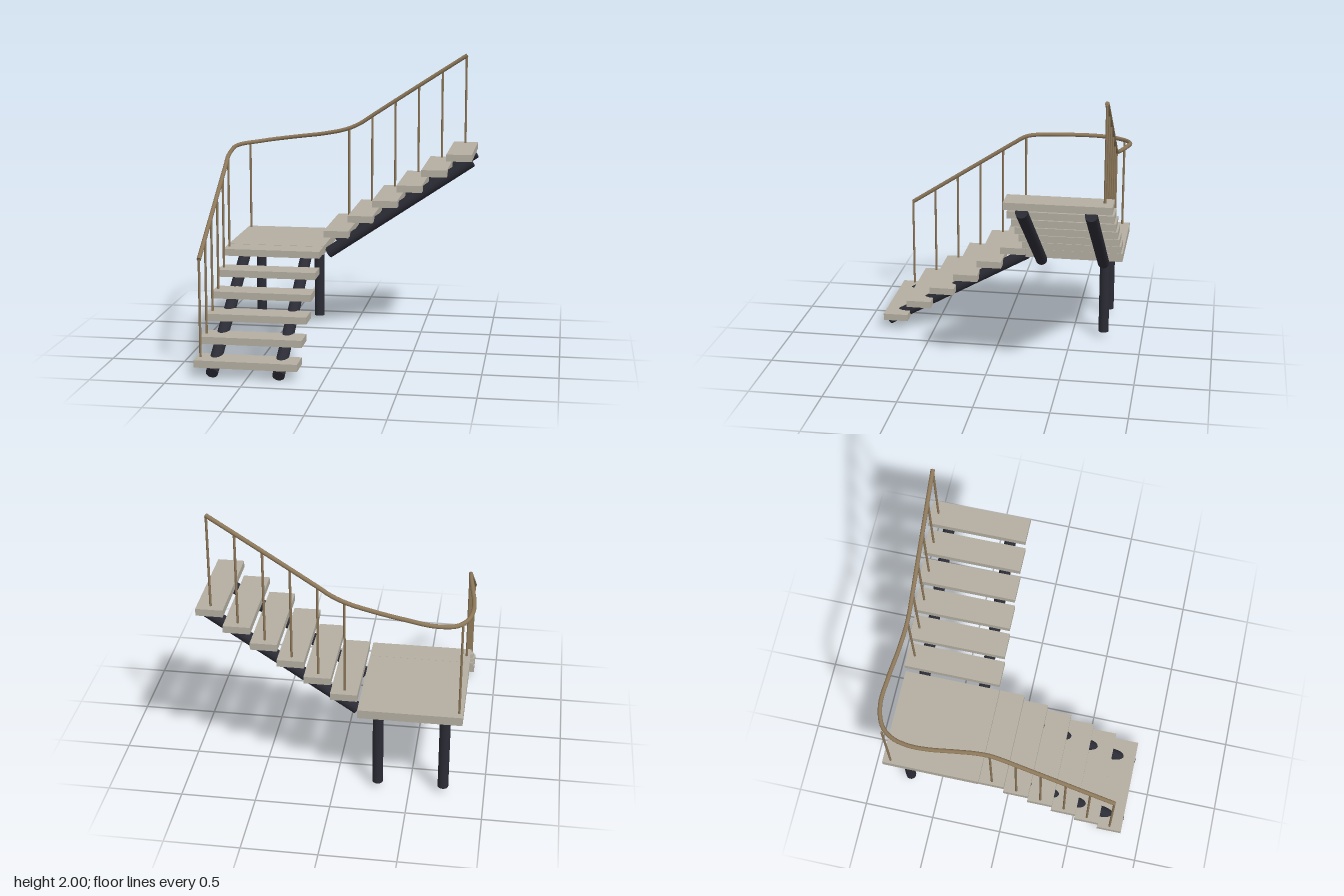
import * as THREE from 'three';

export function createModel() {
  const model = new THREE.Group();
  model.name = 'cornerStaircase';

  const stone = new THREE.MeshStandardMaterial({ name: 'pale stone', color: 0xb5afa2 });
  const steel = new THREE.MeshStandardMaterial({ name: 'dark steel', color: 0x2b2b35 });
  const wood = new THREE.MeshStandardMaterial({ name: 'brown rail', color: 0x8c7759 });

  const V = (x, y, z) => new THREE.Vector3(x, y, z);

  function add(name, geometry, material, parent = model) {
    const mesh = new THREE.Mesh(geometry, material);
    mesh.name = name;
    parent.add(mesh);
    return mesh;
  }

  function slab(name, w, h, d, x, y, z) {
    add(name, new THREE.BoxGeometry(w, h, d), stone).position.set(x, y, z);
  }

  // Round bar between two points
  function bar(name, a, b, radius, material, sides) {
    const mesh = add(name, new THREE.CylinderGeometry(radius, radius, a.distanceTo(b), sides), material);
    mesh.position.copy(a).add(b).multiplyScalar(0.5);
    mesh.quaternion.setFromUnitVectors(V(0, 1, 0), b.clone().sub(a).normalize());
  }

  const STEPS = 6, RUN = 0.171, RISE = 0.1118;
  const WIDTH = 0.682, TREAD = 0.176, THICK = 0.048;
  const RAIL_X = -0.817, RAIL_Z = -0.801;

  // Landing
  slab('landing', WIDTH, 0.06, WIDTH, -0.502, 0.65, -0.514);

  // Treads and balusters of both flights
  const lowerTops = [0.77, 0.88, 0.99, 1.10, 1.21, 1.315];
  const upperTops = [1.435, 1.54, 1.655, 1.767, 1.878, 1.987];
  for (let i = 0; i < STEPS; i++) {
    const z = 0.773 - RUN * i, yLow = 0.096 + RISE * i;
    slab('lowerTread', WIDTH, THICK, TREAD, -0.502, yLow, z);
    bar('lowerBaluster', V(RAIL_X, yLow, z), V(RAIL_X, lowerTops[i], z), 0.008, wood, 10);

    const x = -0.073 + RUN * i, yUp = 0.769 + RISE * i;
    slab('upperTread', TREAD, THICK, WIDTH, x, yUp, -0.514);
    bar('upperBaluster', V(x, yUp, RAIL_Z), V(x, upperTops[i], RAIL_Z), 0.008, wood, 10);
  }
  bar('cornerBaluster', V(RAIL_X, 0.66, RAIL_Z), V(RAIL_X, 1.33, RAIL_Z), 0.008, wood, 10);

  // Sloping stringers and landing posts
  for (const x of [-0.725, -0.285]) {
    bar('lowerStringer', V(x, 0.035, 0.845), V(x, 0.602, -0.165), 0.04, steel, 24);
    bar('landingPost', V(x, 0.042, -0.725), V(x, 0.63, -0.725), 0.036, steel, 24);
  }
  for (const z of [-0.725, -0.29]) {
    bar('upperStringer', V(-0.146, 0.613, z), V(0.862, 1.292, z), 0.04, steel, 24);
  }

  // Handrail sweeping around the landing corner
  const path = new THREE.CatmullRomCurve3([
    V(RAIL_X, 0.77, 0.773), V(RAIL_X, 0.99, 0.431), V(RAIL_X, 1.21, 0.089),
    V(RAIL_X, 1.267, 0), V(-0.82, 1.313, -0.08), V(-0.827, 1.329, -0.17),
    V(-0.843, 1.331, -0.3), V(-0.867, 1.329, -0.49), V(-0.867, 1.327, -0.615),
    V(-0.84, 1.326, -0.725), V(-0.775, 1.328, -0.807), V(-0.64, 1.345, -0.853),
    V(-0.447, 1.372, -0.842), V(-0.258, 1.399, -0.818), V(-0.09, 1.437, -0.803),
    V(0.008, 1.48, RAIL_Z), V(0.098, 1.54, RAIL_Z), V(0.44, 1.764, RAIL_Z), V(0.785, 1.987, RAIL_Z),
  ], false, 'centripetal');
  const RAIL_R = 0.0145;
  add('handrail', new THREE.TubeGeometry(path, 160, RAIL_R, 14), wood);

  // Flat rail ends
  for (const [t, sign] of [[0, -1], [1, 1]]) {
    const cap = add('handrailEnd', new THREE.CircleGeometry(RAIL_R, 14), wood);
    cap.position.copy(path.getPointAt(t));
    cap.quaternion.setFromUnitVectors(V(0, 0, 1), path.getTangentAt(t).multiplyScalar(sign));
  }

  return model;
}
